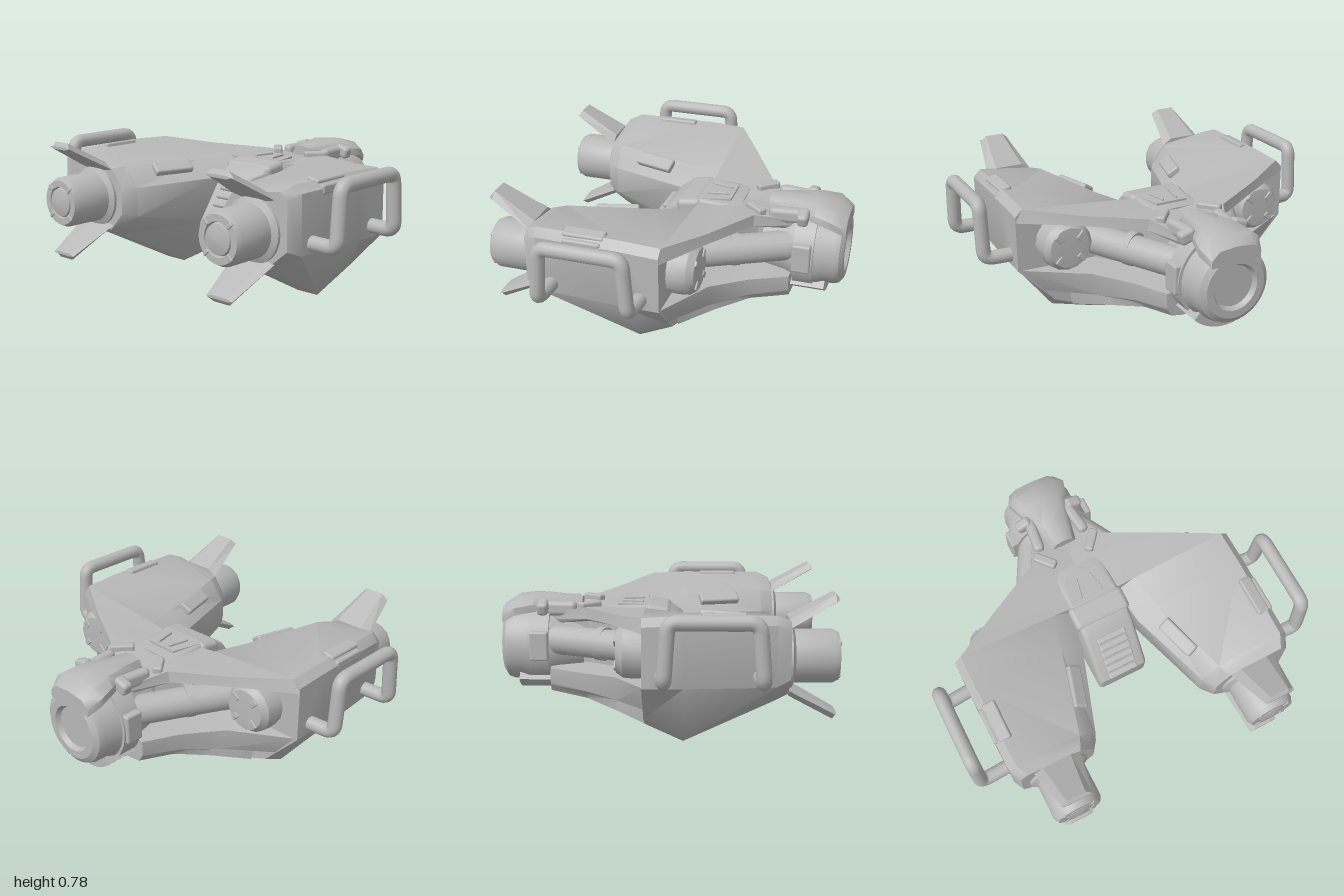
import * as THREE from 'three';
import { toCreasedNormals } from 'three/addons/utils/BufferGeometryUtils.js';
import { RoundedBoxGeometry } from 'three/addons/geometries/RoundedBoxGeometry.js';

const metal = new THREE.MeshStandardMaterial({ color: 0xb8b8b8 });
metal.name = 'plain grey';

// Skin through cross-sections [z, [x, y]...], listed front to back, points clockwise from the front
function loft(sections, crease = 0.55) {
  const pos = [], index = [], n = sections[0].length - 1;
  for (const [z, ...pts] of sections) for (const [x, y] of pts) pos.push(x, y, z);
  for (let i = 0; i < sections.length - 1; i++) {
    for (let j = 0; j < n; j++) {
      const a = i * n + j, b = i * n + (j + 1) % n;
      index.push(a, b, b + n, a, b + n, a + n);
    }
  }
  const cap = (s, base, front) => {
    const pts = s.slice(1).map(([x, y]) => new THREE.Vector2(x, y));
    for (const [a, b, c] of THREE.ShapeUtils.triangulateShape(pts, [])) {
      const ccw = THREE.ShapeUtils.area([pts[a], pts[b], pts[c]]) > 0;
      if (ccw === front) index.push(base + a, base + b, base + c);
      else index.push(base + a, base + c, base + b);
    }
  };
  cap(sections[0], 0, true);
  cap(sections.at(-1), (sections.length - 1) * n, false);
  const g = new THREE.BufferGeometry();
  g.setAttribute('position', new THREE.Float32BufferAttribute(pos, 3));
  g.setIndex(index);
  return toCreasedNormals(g, crease);
}

// Mirror across one axis, keeping faces outward
function flip(geo, sx, sy) {
  const g = geo.index ? geo.toNonIndexed() : geo.clone();
  g.scale(sx, sy, 1);
  for (const key of ['position', 'normal']) {
    const a = g.attributes[key].array;
    for (let i = 0; i < a.length; i += 9) {
      for (let k = 0; k < 3; k++) [a[i + 3 + k], a[i + 6 + k]] = [a[i + 6 + k], a[i + 3 + k]];
    }
  }
  return g;
}

// Turned part along z: profile [radius, distance], dir 1 = forwards, -1 = backwards
function turned(profile, dir, x, y, sides = 32) {
  const g = new THREE.LatheGeometry(profile.map(p => new THREE.Vector2(...p)), sides);
  return toCreasedNormals(g.rotateX(dir * Math.PI / 2), 0.5).translate(x, y, 0);
}

// Curved plate around the z axis between two radii and two angles in degrees
function arcPlate(r0, r1, a0, a1, z0, z1, y) {
  const s = new THREE.Shape(), d = Math.PI / 180;
  s.absarc(0, 0, r1, a0 * d, a1 * d, false);
  s.absarc(0, 0, r0, a1 * d, a0 * d, true);
  const g = new THREE.ExtrudeGeometry(s, { depth: z1 - z0, bevelEnabled: false, curveSegments: 16 });
  return toCreasedNormals(g, 0.5).translate(0, y, z0);
}

// Tube along straight runs with rounded corners
function bentTube(points, radius, corner) {
  const p = points.map(a => new THREE.Vector3(...a)), path = new THREE.CurvePath();
  let from = p[0];
  for (let i = 1; i < p.length - 1; i++) {
    const a = p[i].clone().add(p[i - 1].clone().sub(p[i]).setLength(corner));
    const b = p[i].clone().add(p[i + 1].clone().sub(p[i]).setLength(corner));
    path.add(new THREE.LineCurve3(from, a));
    path.add(new THREE.QuadraticBezierCurve3(a, p[i], b));
    from = b;
  }
  path.add(new THREE.LineCurve3(from, p.at(-1)));
  return new THREE.TubeGeometry(path, 96, radius, 14, false);
}

function rod(a, b, r) {
  const A = new THREE.Vector3(...a), B = new THREE.Vector3(...b), d = B.clone().sub(A);
  const q = new THREE.Quaternion().setFromUnitVectors(new THREE.Vector3(0, 1, 0), d.clone().normalize());
  const m = new THREE.Matrix4().compose(A.add(B).multiplyScalar(0.5), q, new THREE.Vector3(1, 1, 1));
  return new THREE.CylinderGeometry(r, r, d.length(), 20).applyMatrix4(m);
}

function block(w, h, d, x, y, z, [rx, ry, rz] = [0, 0, 0], r = 0.012) {
  return new RoundedBoxGeometry(w, h, d, 2, r).rotateZ(rz).rotateX(rx).rotateY(ry).translate(x, y, z);
}

export function createModel() {
  const model = new THREE.Group();
  model.name = 'twinPodThruster';
  const add = (name, geo) => {
    const mesh = new THREE.Mesh(geo, metal);
    mesh.name = name;
    model.add(mesh);
  };
  const pair = (name, geo) => {
    add(name + 'Left', geo);
    add(name + 'Right', flip(geo, -1, 1));
  };

  // Pod hulls, with a keel dropping to the ground
  pair('podHull', loft([
    [0.62, [0.37, 0.52], [0.44, 0.62], [0.74, 0.66], [0.78, 0.62], [0.78, 0.38], [0.66, 0.28], [0.46, 0.28], [0.37, 0.38]],
    [0.55, [0.32, 0.52], [0.41, 0.63], [0.77, 0.69], [0.81, 0.65], [0.81, 0.35], [0.65, 0.24], [0.45, 0.24], [0.32, 0.36]],
    [0.10, [0.17, 0.53], [0.29, 0.62], [0.78, 0.69], [0.82, 0.65], [0.82, 0.34], [0.56, 0], [0.43, 0], [0.20, 0.28]],
    [-0.10, [0.14, 0.56], [0.24, 0.63], [0.78, 0.68], [0.82, 0.64], [0.82, 0.34], [0.62, 0.13], [0.40, 0.04], [0.16, 0.20]],
  ], 0.75));

  // Rear frames: top plate, open recess, side beam, shallow lower pocket and keel rail
  pair('rearFrame', loft([
    [-0.10, [0, 0.60], [0.24, 0.63], [0.78, 0.68], [0.82, 0.61], [0.40, 0.56], [0.38, 0.33], [0.80, 0.34], [0.68, 0.20], [0.54, 0.18], [0.52, 0.08], [0.40, 0.04], [0, 0.20]],
    [-0.25, [0, 0.61], [0.20, 0.625], [0.53, 0.65], [0.55, 0.60], [0.25, 0.56], [0.23, 0.31], [0.47, 0.31], [0.44, 0.18], [0.36, 0.17], [0.36, 0.10], [0.28, 0.08], [0, 0.18]],
    [-0.42, [0, 0.61], [0.10, 0.62], [0.22, 0.63], [0.23, 0.57], [0.12, 0.54], [0.12, 0.31], [0.31, 0.29], [0.30, 0.19], [0.27, 0.17], [0.25, 0.14], [0.16, 0.13], [0, 0.17]],
    [-0.62, [0, 0.58], [0.06, 0.58], [0.12, 0.58], [0.12, 0.55], [0.10, 0.52], [0.10, 0.30], [0.23, 0.30], [0.23, 0.22], [0.22, 0.20], [0.20, 0.17], [0.14, 0.16], [0, 0.16]],
  ]));

  // Strut with a ring, and the notched rear nozzle, inside each recess
  pair('recessStrut', rod([0.13, 0.44, -0.62], [0.42, 0.45, -0.08], 0.08));
  pair('strutRing', rod([0.262, 0.445, -0.35], [0.283, 0.445, -0.31], 0.09));
  pair('rearNozzle', turned([[0, 0.06], [0.135, 0.06], [0.14, 0.15], [0.135, 0.20], [0.11, 0.235], [0.05, 0.24], [0, 0.235]], -1, 0.58, 0.475, 16));
  for (let i = 0; i < 4; i++) {
    const a = Math.PI / 4 + i * Math.PI / 2;
    pair('rearNozzleTab', block(0.05, 0.03, 0.02, 0.58 + 0.085 * Math.cos(a), 0.475 + 0.085 * Math.sin(a), -0.235, [0, 0, a], 0.006));
  }

  // Front nozzles with stepped rim and pointed core
  pair('frontNozzle', turned([[0, 0.58], [0.165, 0.58], [0.165, 0.635], [0.135, 0.65], [0.135, 0.84], [0.12, 0.87],
    [0.085, 0.87], [0.08, 0.855], [0.075, 0.87], [0, 0.89]], 1, 0.575, 0.455));
  for (let i = 0; i < 4; i++) {
    const a = Math.PI / 4 + i * Math.PI / 2;
    pair('nozzleTab', block(0.04, 0.02, 0.03, 0.575 + 0.105 * Math.cos(a), 0.455 + 0.105 * Math.sin(a), 0.86, [0, 0, a], 0.006));
  }

  // Fins above and below the front nozzles, with bevelled sides and a square-cut tip
  const finSection = (z, w, y, t) => [z, ...[[-w, y], [-0.6 * w, y + t], [0.6 * w, y + t], [w, y], [0.6 * w, y - 0.01], [-0.6 * w, y - 0.01]]
    .map(([x, h]) => [x + 0.575, h])];
  const fin = loft([finSection(0.862, 0.082, 0.75, 0.005), finSection(0.845, 0.085, 0.74, 0.036), finSection(0.62, 0.13, 0.615, 0.036)], 0.2);
  pair('upperFin', fin);
  pair('lowerFin', flip(fin, 1, -1).translate(0, 0.92, 0));

  // Side handles
  pair('handle', bentTube([[0.77, 0.40, 0.47], [0.962, 0.40, 0.48], [0.962, 0.692, 0.455],
    [0.962, 0.692, 0.03], [0.962, 0.40, 0.01], [0.77, 0.40, -0.005]], 0.038, 0.05));

  // Raised pads on the pod tops
  pair('innerPad', block(0.08, 0.04, 0.23, 0.305, 0.60, 0.30, [0, 0.28, 0.6]));
  pair('outerPad', block(0.07, 0.05, 0.22, 0.755, 0.672, 0.30, [0, 0, -0.2]));
  pair('shoulderPlate', block(0.03, 0.05, 0.20, 0.805, 0.645, 0.30));
  pair('neckPad', block(0.05, 0.05, 0.13, 0.14, 0.625, -0.41, [0, -0.7, 0]));

  // Centre block with sloping front
  const side = new THREE.Shape([[-0.3, 0.6], [-0.1, 0.615], [0, 0.6], [0.07, 0.55], [0.245, 0.3], [0.24, 0.21], [0.1, 0.2], [-0.3, 0.21]]
    .map(p => new THREE.Vector2(...p)));
  const centre = new THREE.ExtrudeGeometry(side, { depth: 0.24, bevelSize: 0.02, bevelThickness: 0.025, bevelSegments: 3 });
  add('centreBlock', toCreasedNormals(centre.translate(0, 0, -0.12).rotateY(-Math.PI / 2), 0.6));
  add('centreCap', block(0.32, 0.11, 0.14, 0, 0.575, -0.045, [0.15, 0, 0], 0.03));
  add('centreTopPlate', loft([
    [-0.10, [-0.13, 0.635], [0.13, 0.635], [0.13, 0.58], [-0.13, 0.58]],
    [-0.26, [-0.09, 0.635], [0.09, 0.635], [0.09, 0.58], [-0.09, 0.58]],
  ]));
  pair('centreTopRib', block(0.012, 0.02, 0.12, 0.05, 0.637, -0.18, [0, 0.2, 0], 0.005));

  // Louvres down the slope
  for (let i = 0; i < 6; i++) {
    const t = i / 5;
    add('louvre', block(0.17, 0.022, 0.035, 0, 0.535 - 0.21 * t, 0.11 + 0.145 * t, [0.25, 0, 0], 0.008));
  }

  // Rear barrel with rounded rim and recessed end
  add('rearBarrel', turned([[0, 0.45], [0.16, 0.45], [0.19, 0.58], [0.215, 0.63], [0.22, 0.75], [0.205, 0.79], [0.205, 0.84],
    [0.195, 0.87], [0.165, 0.89], [0.125, 0.89], [0.11, 0.865], [0, 0.865]], -1, 0, 0.40, 40));
  add('barrelSkirt', arcPlate(0.19, 0.25, 225, 315, -0.80, -0.62, 0.40));
  add('barrelCollar', arcPlate(0.19, 0.235, -40, 220, -0.74, -0.63, 0.40));

  // Shroud over the barrel
  const shroudSection = (z, w, y) => [z, [-w, y - 0.04], [-0.7 * w, y], [0, y + 0.01], [0.7 * w, y], [w, y - 0.04], [w, y - 0.08], [-w, y - 0.08]];
  add('barrelShroud', loft([shroudSection(-0.46, 0.07, 0.65), shroudSection(-0.60, 0.10, 0.665), shroudSection(-0.72, 0.14, 0.67),
    shroudSection(-0.82, 0.17, 0.655), shroudSection(-0.89, 0.14, 0.61)], 0.8));
  pair('shroudFinger', block(0.06, 0.08, 0.2, 0.125, 0.61, -0.58, [0, 0.12, 0], 0.025));
  pair('shroudClip', block(0.09, 0.07, 0.06, 0.15, 0.62, -0.665, [0, 0, -0.3], 0.02));
  pair('barrelLug', block(0.06, 0.16, 0.10, 0.22, 0.42, -0.68));

  return model;
}
